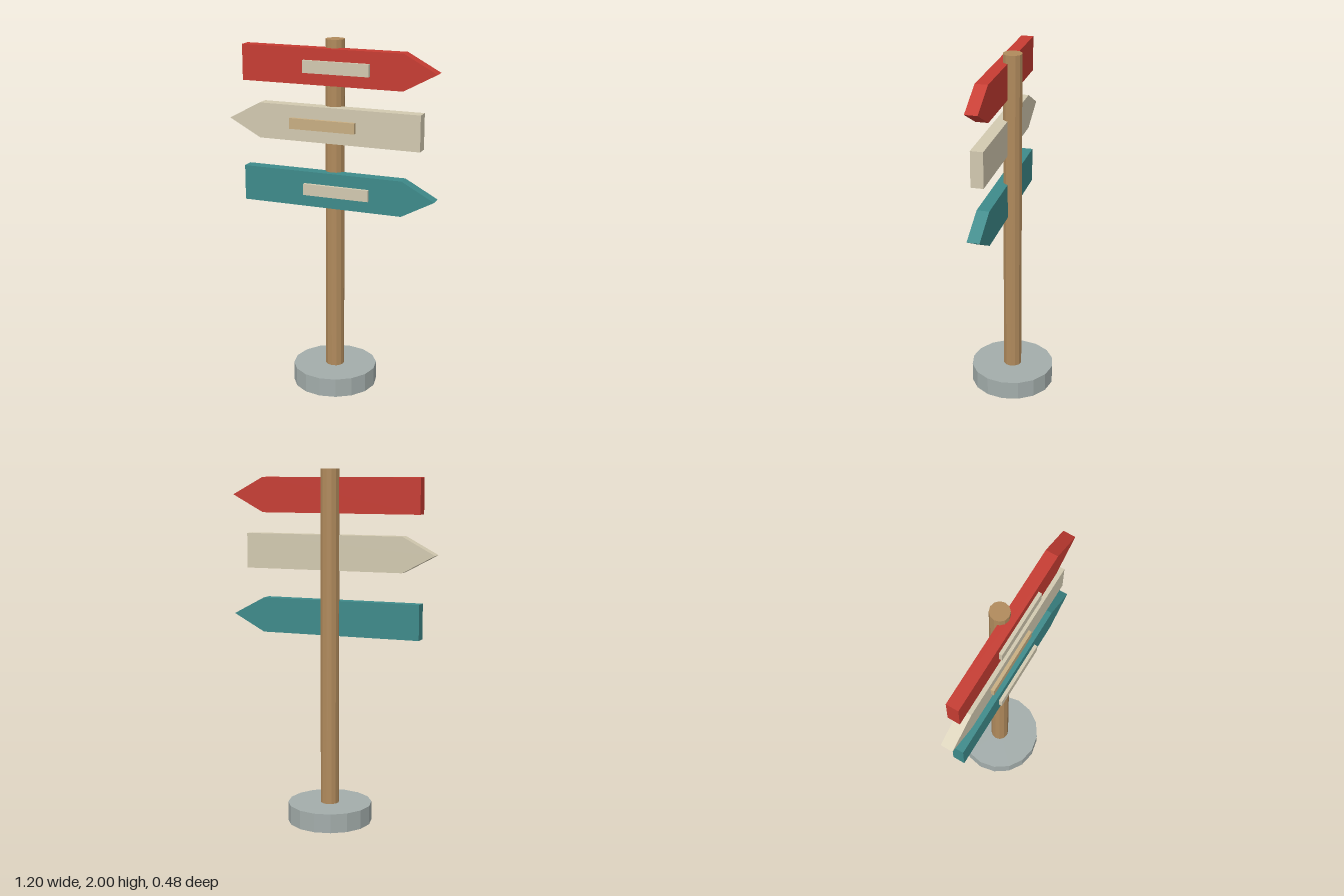
import * as THREE from 'three';

const COLORS = {
  wood: 0xb08a5c, stone: 0xa3adab, red: 0xc63c32,
  cream: 0xd2c9b0, teal: 0x3e8a8a, tan: 0xc8ae82,
};

function addPart(parent, name, geometry, color, x = 0, y = 0, z = 0) {
  const material = new THREE.MeshStandardMaterial({ color, flatShading: true });
  const mesh = new THREE.Mesh(geometry, material);
  mesh.name = name;
  mesh.position.set(x, y, z);
  parent.add(mesh);
  return mesh;
}

// Arrow board pointing towards +x (dir 1) or -x (dir -1), with a small plaque on its face
function makeSign({ name, y, dir, board, plaque, plaqueHeight }) {
  const sign = new THREE.Group();
  sign.name = name;
  sign.position.y = y;
  const outline = [[-0.515, -0.099], [0.415, -0.099], [0.6, 0], [0.415, 0.099], [-0.515, 0.099]];
  const shape = new THREE.Shape(outline.map(([px, py]) => new THREE.Vector2(px * dir, py)));
  const boardGeometry = new THREE.ExtrudeGeometry(shape, { depth: 0.069, bevelEnabled: false });
  addPart(sign, 'arrowBoard', boardGeometry, board, 0, 0, 0.015);
  addPart(sign, 'plaque', new THREE.BoxGeometry(0.38, plaqueHeight, 0.03), plaque, 0.04 * dir, 0, 0.088);
  return sign;
}

export function createModel() {
  const model = new THREE.Group();
  model.name = 'signpost';

  // Stone foot and wooden post
  addPart(model, 'base', new THREE.CylinderGeometry(0.24, 0.24, 0.108, 16), COLORS.stone, 0, 0.054, 0);
  addPart(model, 'post', new THREE.CylinderGeometry(0.053, 0.053, 2, 12), COLORS.wood, 0, 1, 0);

  // Three boards, the middle one pointing the other way
  const signs = [
    { name: 'topSign', y: 1.856, dir: 1, board: COLORS.red, plaque: COLORS.cream, plaqueHeight: 0.068 },
    { name: 'middleSign', y: 1.539, dir: -1, board: COLORS.cream, plaque: COLORS.tan, plaqueHeight: 0.06 },
    { name: 'bottomSign', y: 1.172, dir: 1, board: COLORS.teal, plaque: COLORS.cream, plaqueHeight: 0.064 },
  ];
  for (const spec of signs) model.add(makeSign(spec));
  return model;
}
